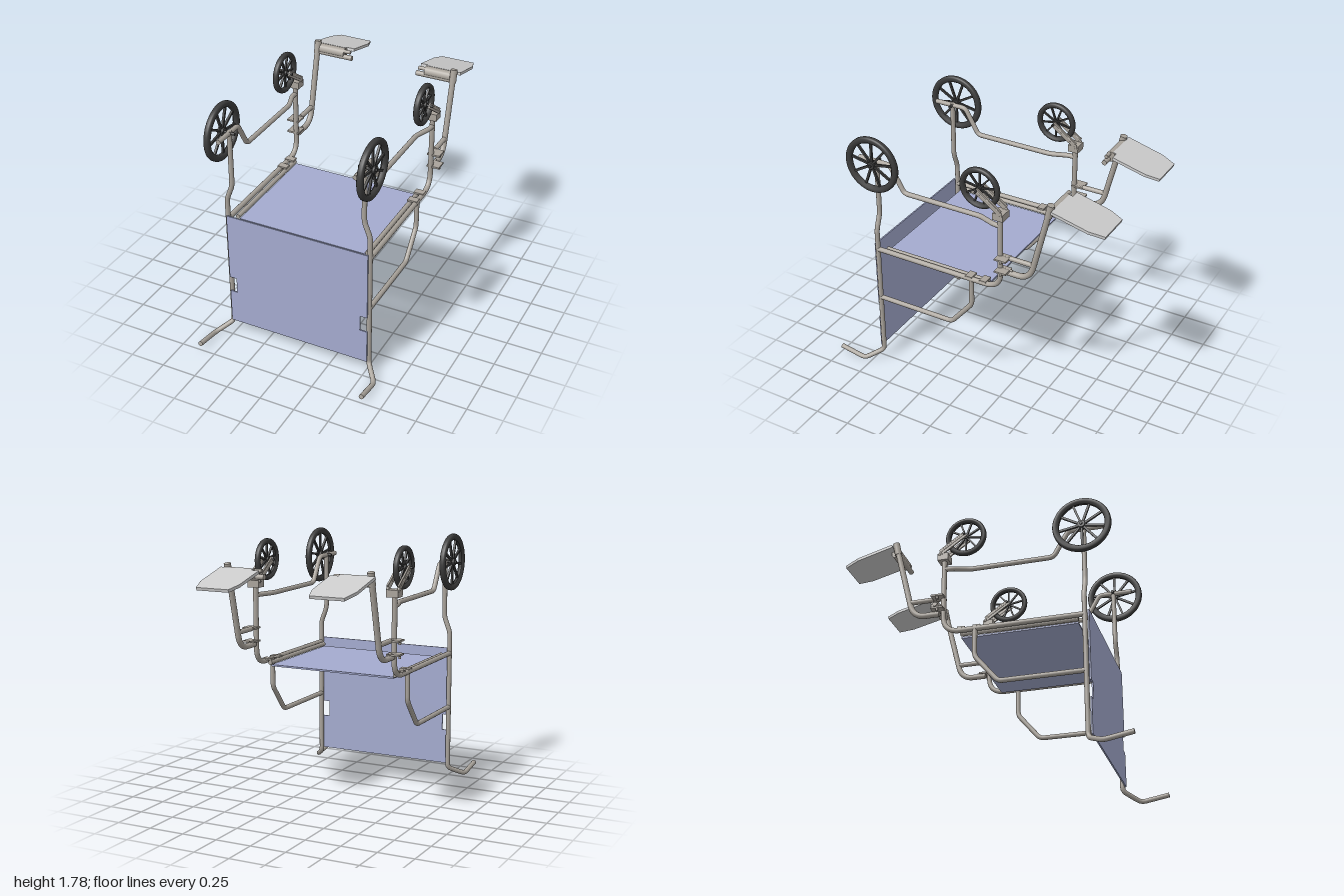
import * as THREE from 'three';

const metal = new THREE.MeshStandardMaterial({ color: 0xa9a39b });
const fabric = new THREE.MeshStandardMaterial({ color: 0xa4abcf });
const rubber = new THREE.MeshStandardMaterial({ color: 0x3c3c3c });
const grey = new THREE.MeshStandardMaterial({ color: 0xcccccc });
const V = (x, y, z) => new THREE.Vector3(x, y, z);
const UP = V(0, 1, 0);

function add(parent, name, geometry, material) {
  const mesh = new THREE.Mesh(geometry, material);
  mesh.name = name;
  parent.add(mesh);
  return mesh;
}

function box(parent, name, size, pos, material = metal) {
  const mesh = add(parent, name, new THREE.BoxGeometry(...size), material);
  mesh.position.set(...pos);
  return mesh;
}

// straight round bar between two points
function rod(parent, name, a, b, r, material = metal) {
  const d = b.clone().sub(a);
  const mesh = add(parent, name, new THREE.CylinderGeometry(r, r, d.length(), 16), material);
  mesh.position.copy(a).addScaledVector(d, 0.5);
  mesh.quaternion.setFromUnitVectors(UP, d.normalize());
  return mesh;
}

// bent pipe through corner points, each corner rounded, ends closed
function pipe(parent, name, points, r = 0.017, bend = 0.03) {
  const group = new THREE.Group();
  group.name = name;
  parent.add(group);
  const path = new THREE.CurvePath();
  let from = points[0];
  for (let i = 1; i < points.length - 1; i++) {
    const p = points[i];
    const toward = (q) => p.clone().add(q.clone().sub(p).setLength(Math.min(bend, q.distanceTo(p) * 0.48)));
    const a = toward(points[i - 1]), b = toward(points[i + 1]);
    path.add(new THREE.LineCurve3(from, a));
    path.add(new THREE.QuadraticBezierCurve3(a, p, b));
    from = b;
  }
  const last = points[points.length - 1];
  path.add(new THREE.LineCurve3(from, last));
  add(group, name + 'Tube', new THREE.TubeGeometry(path, 90, r, 12), metal);
  for (const [end, next] of [[points[0], points[1]], [last, points[points.length - 2]]]) {
    const inward = next.clone().sub(end).setLength(0.004);
    rod(group, name + 'Cap', end, end.clone().add(inward), r);
  }
}

// tyre, rim, hub and nine spokes, turning about the x axis
function wheel(parent, name, pos, R, inner, w, phase) {
  const g = new THREE.Group();
  g.name = name;
  g.position.copy(pos);
  parent.add(g);
  const h = w / 2, c = w * 0.3;
  const profile = [[inner, -h + c], [inner + c, -h], [R - c, -h], [R - c * 0.3, -h + c * 0.4], [R, -h + c],
    [R, h - c], [R - c * 0.3, h - c * 0.4], [R - c, h], [inner + c, h], [inner, h - c], [inner, -h + c]]
    .map(([x, y]) => new THREE.Vector2(x, y));
  add(g, 'tyre', new THREE.LatheGeometry(profile, 48), rubber).rotation.z = -Math.PI / 2;
  rod(g, 'hub', V(-h, 0, 0), V(h, 0, 0), R * 0.13, rubber);
  for (let i = 0; i < 9; i++) {
    const a = phase + (i / 9) * Math.PI * 2;
    const m = (inner + 0.01) / 2;
    const spoke = box(g, 'spoke', [w * 0.35, inner + 0.01, R * 0.075],
      [0, Math.cos(a) * m, Math.sin(a) * m], rubber);
    spoke.rotation.x = a;
  }
}

function buildSide(s) {
  const g = new THREE.Group();
  g.name = s > 0 ? 'leftSide' : 'rightSide';
  const P = (x, y, z) => V(s * x, y, z);
  const X = 0.52, IN = 0.477;

  // main frame
  pipe(g, 'backPostAndHandle', [P(IN, 1.61, 0.69), P(IN, 1.2, 0.69), P(X, 1.09, 0.69),
    P(X, 0.085, 0.69), P(0.61, 0.024, 0.8), P(0.61, 0.058, 0.995)]);
  pipe(g, 'seatRailAndFrontPost', [P(X, 0.937, 0.69), P(X, 0.937, -0.27), P(X, 1.48, -0.27)], 0.018, 0.12);
  pipe(g, 'lowerRail', [P(IN, 1.595, 0.825), P(IN, 1.595, 0.585), P(IN, 1.413, 0.48),
    P(IN, 1.413, -0.1), P(X, 1.413, -0.22), P(X, 1.413, -0.27)]);
  pipe(g, 'armRest', [P(X, 0.54, 0.69), P(X, 0.54, 0.11), P(X, 0.735, -0.05), P(X, 0.937, -0.05)]);
  pipe(g, 'seatBar', [P(IN, 0.93, 0.64), P(IN, 0.93, -0.16)], 0.016);
  for (const z of [-0.035, -0.142]) box(g, 'seatClip', [0.07, 0.012, 0.05], [s * 0.5, 0.953, z]);

  // main wheel
  const phase = s > 0 ? 0 : Math.PI / 9;
  wheel(g, 'mainWheel', P(0.53, 1.595, 0.69), 0.2, 0.157, 0.042, phase);
  rod(g, 'mainAxle', P(0.435, 1.595, 0.69), P(0.56, 1.595, 0.69), 0.01, rubber);

  // caster with its fork
  wheel(g, 'casterWheel', P(0.516, 1.645, -0.12), 0.143, 0.108, 0.04, phase);
  rod(g, 'casterAxle', P(0.455, 1.645, -0.12), P(0.58, 1.645, -0.12), 0.008, rubber);
  box(g, 'casterHead', [0.085, 0.05, 0.075], [s * 0.518, 1.495, -0.272]);
  for (const x of [0.478, 0.556]) {
    pipe(g, 'forkArm', [P(x, 1.505, -0.295), P(x, 1.535, -0.285), P(x, 1.645, -0.12)], 0.009);
    const arm = box(g, 'forkPlate', [0.012, 0.04, 0.21], [s * x, 1.588, -0.2]);
    arm.rotation.x = Math.atan2(0.115, 0.165) * -1;
  }

  // leg rest hanger and its clamps
  pipe(g, 'legRest', [P(X, 1.08, -0.3), P(X, 1.08, -0.485), P(X, 1.66, -0.625)], 0.02, 0.1);
  rod(g, 'legRestBrace', P(X, 1.192, -0.34), P(X, 1.192, -0.51), 0.017);
  rod(g, 'legRestTop', P(X, 1.58, -0.608), P(X, 1.67, -0.627), 0.024);
  for (const y of [1.1, 1.192]) {
    box(g, 'clampPlate', [0.09, 0.012, 0.085], [s * 0.54, y, -0.3]);
    rod(g, 'clampPin', P(0.573, y - 0.025, -0.3), P(0.573, y + 0.006, -0.3), 0.009);
    rod(g, 'clampPeg', P(X, y, -0.28), P(X, y, -0.36), 0.008);
  }

  // foot plate and hinge
  rod(g, 'hingeBarrel', P(0.31, 1.612, -0.632), P(0.5, 1.612, -0.632), 0.036);
  rod(g, 'hingeRod', P(0.247, 1.592, -0.615), P(X, 1.592, -0.615), 0.018);
  rod(g, 'hingePin', P(0.262, 1.632, -0.62), P(0.33, 1.632, -0.62), 0.013);
  const outline = [[0.56, 0], [0.555, 0.26], [0.522, 0.365], [0.285, 0.365], [0.257, 0.27],
    [0.257, 0.025], [0.315, 0.025], [0.315, 0]].map(([x, d]) => new THREE.Vector2(s * x, d));
  const plate = add(g, 'footPlate',
    new THREE.ExtrudeGeometry(new THREE.Shape(outline), { depth: 0.02, bevelEnabled: false }), grey);
  plate.position.set(0, 1.628, -0.64);
  plate.rotation.x = -Math.PI / 2 - 0.25;
  return g;
}

export function createModel() {
  const model = new THREE.Group();
  model.name = 'foldingWheelchair';
  model.add(buildSide(1), buildSide(-1));

  // fabric seat and notched back panel
  box(model, 'seat', [0.93, 0.012, 0.795], [0, 0.91, 0.238], fabric);
  const half = [[0.517, 0.11], [0.517, 0.36], [0.465, 0.36], [0.465, 0.475], [0.517, 0.475], [0.517, 0.97]];
  const outline = [...half, ...half.map(([x, y]) => [-x, y]).reverse()].map((p) => new THREE.Vector2(...p));
  const back = add(model, 'backPanel',
    new THREE.ExtrudeGeometry(new THREE.Shape(outline), { depth: 0.01, bevelEnabled: false }), fabric);
  back.position.z = 0.709;
  return model;
}
